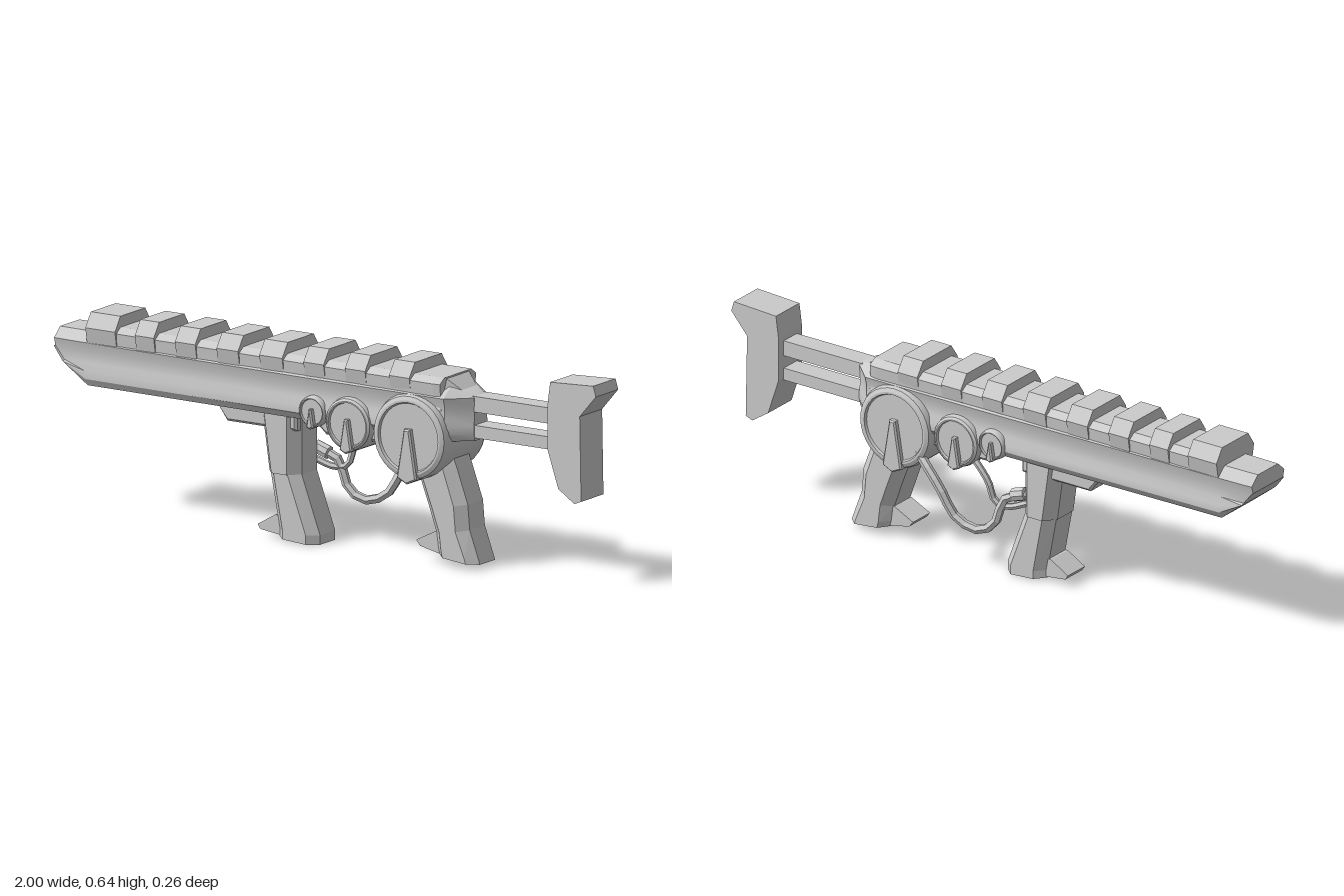
import * as THREE from 'three';
import { mergeVertices, toCreasedNormals } from 'three/addons/utils/BufferGeometryUtils.js';

const grey = new THREE.MeshStandardMaterial({ color: 0xcccccc });
const flat = new THREE.MeshStandardMaterial({ color: 0xcccccc, flatShading: true });

function part(name, geometry, material = flat) {
  const mesh = new THREE.Mesh(geometry, material);
  mesh.name = name;
  return mesh;
}

// Closed skin through equal-length loops of [x, y, z] points
function loft(rings) {
  const pos = [];
  const n = rings[0].length;
  const tri = (...pts) => pts.forEach((p) => pos.push(...p));
  for (let i = 0; i < rings.length - 1; i++) {
    for (let j = 0; j < n; j++) {
      const k = (j + 1) % n, a = rings[i], b = rings[i + 1];
      tri(a[j], a[k], b[k]);
      tri(a[j], b[k], b[j]);
    }
  }
  const cap = (ring, flip) => {
    const c = [0, 1, 2].map((d) => ring.reduce((s, p) => s + p[d], 0) / n);
    ring.forEach((p, j) => {
      const q = ring[(j + 1) % n];
      if (flip) tri(c, q, p); else tri(c, p, q);
    });
  };
  cap(rings[0], true);
  cap(rings[rings.length - 1], false);
  const g = new THREE.BufferGeometry();
  g.setAttribute('position', new THREE.Float32BufferAttribute(pos, 3));
  return toCreasedNormals(g, 0.45);
}

// Loop across the barrel at x from a half profile [z, y] listed top to bottom
function slice(x, half, widen = 1, minY = 0) {
  const right = half.map(([z, y]) => [x, Math.max(y, minY), z * widen]);
  return [...right, ...right.map(([a, y, z]) => [a, y, -z]).reverse()];
}

// Octagonal grip loop: back and front x, with a height at each
function gripSlice(x0, y0, x1, y1, w = 0.074) {
  const f = 0.042, c = 0.032;
  return [[x0 + c, w], [x1 - c, w], [x1, f], [x1, -f], [x1 - c, -w], [x0 + c, -w], [x0, -f], [x0, f]]
    .map(([x, z]) => [x, y0 + (y1 - y0) * (x - x0) / (x1 - x0), z]);
}

// Side outline extruded evenly about z = 0
function plate(points, halfWidth, bevel = 0) {
  const shape = new THREE.Shape(points.map((p) => new THREE.Vector2(...p)));
  const depth = 2 * (halfWidth - bevel);
  return new THREE.ExtrudeGeometry(shape, {
    depth, bevelEnabled: bevel > 0, bevelThickness: bevel, bevelSize: bevel, bevelOffset: -bevel, bevelSegments: 1,
  }).translate(0, 0, -depth / 2);
}

function box(x0, x1, y0, y1, halfWidth) {
  return new THREE.BoxGeometry(x1 - x0, y1 - y0, 2 * halfWidth).translate((x0 + x1) / 2, (y0 + y1) / 2, 0);
}

// Round drum through the body with a rimmed face and a wedge pointer on each side
function dial(name, x, y, r, z) {
  const group = new THREE.Group();
  group.name = name;
  const face = [[r, 0], [r, z - 0.02], [r * 0.96, z - 0.006], [r * 0.87, z], [r * 0.82, z], [r * 0.79, z - 0.008], [0, z - 0.008]];
  const outline = [...face.map(([a, b]) => [a, -b]).reverse(), ...face.slice(1)];
  const lathe = new THREE.LatheGeometry(outline.map((p) => new THREE.Vector2(...p)), 32).rotateX(Math.PI / 2);
  group.add(part('dialDrum', toCreasedNormals(lathe, 0.45), grey));
  const pointer = plate([[-r * 0.08, r * 0.2], [-r * 0.27, -r * 0.95], [0, -r * 1.08], [r * 0.27, -r * 0.95], [r * 0.08, r * 0.2]], z + 0.01, 0.005);
  group.add(part('dialPointers', pointer));
  group.position.set(x, y, 0);
  return group;
}

function cable(name, points, radius) {
  const path = new THREE.CatmullRomCurve3(points.map((p) => new THREE.Vector3(...p)), false, 'centripetal');
  return part(name, mergeVertices(new THREE.TubeGeometry(path, 14, radius, 6, false)));
}

export function createModel() {
  const model = new THREE.Group();

  // Lower body with a waisted side, an upswept nose and a tapered tail
  const side = [[0.06, 0.57], [0.098, 0.54], [0.09, 0.51], [0.09, 0.475], [0.1, 0.45], [0.1, 0.425], [0.085, 0.403]];
  model.add(part('lowerBody', loft([
    slice(-1, side, 0.88, 0.515), slice(-0.965, side, 0.9, 0.47), slice(-0.88, side, 0.92),
    slice(0, side, 1.05), slice(0.46, side, 1.06), slice(0.53, side.map(([z, y]) => [z, Math.min(y, 0.545)]), 0.38),
  ]), grey));

  // Upper cover, stepping up into a row of eight teeth
  const low = [[0.073, 0.6], [0.098, 0.583], [0.094, 0.535]];
  const high = [[0.075, 0.635], [0.108, 0.59], [0.097, 0.535]];
  model.add(part('upperCover', loft([
    slice(-0.865, low, 0.92), slice(0.42, low, 1.05), slice(0.445, low, 1.02),
  ])));
  const teeth = [[-0.875, -0.765], [-0.69, -0.62], [-0.54, -0.465], [-0.385, -0.305], [-0.225, -0.14], [-0.06, 0.015], [0.095, 0.17], [0.26, 0.335]];
  teeth.forEach(([a, b]) => {
    const w = 0.97 + a * 0.06;
    model.add(part('railTooth', loft([
      slice(a, high, w), slice(b, high, w),
    ])));
  });
  model.add(part('rearCover', loft([
    slice(0.42, [[0.065, 0.595], [0.1, 0.5]]), slice(0.445, [[0.062, 0.595], [0.098, 0.5]]), slice(0.5, [[0.035, 0.55], [0.05, 0.5]]),
  ])));

  // Blocks under the body
  model.add(part('frontMount', plate([[-0.41, 0.41], [-0.37, 0.355], [-0.11, 0.355], [-0.11, 0.41]], 0.07, 0.008)));
  model.add(part('rearCasing', plate([[-0.11, 0.41], [-0.03, 0.4], [0.01, 0.365], [0.42, 0.365], [0.46, 0.41]], 0.09, 0.01)));

  // Dials, growing towards the rear
  model.add(dial('smallDial', -0.025, 0.437, 0.05, 0.115));
  model.add(dial('middleDial', 0.11, 0.415, 0.085, 0.117));
  model.add(dial('largeDial', 0.34, 0.405, 0.136, 0.121));

  // Front grip with its sleeve and toe
  model.add(part('frontGrip', loft([
    gripSlice(-0.19, 0.01, -0.04, 0), gripSlice(-0.19, 0.035, -0.04, 0.03), gripSlice(-0.225, 0.22, -0.11, 0.22), gripSlice(-0.25, 0.38, -0.11, 0.38),
  ])));
  model.add(part('frontGripSleeve', loft([
    gripSlice(-0.228, 0.215, -0.107, 0.215, 0.08), gripSlice(-0.255, 0.405, -0.107, 0.405, 0.08),
  ])));
  model.add(part('frontGripToe', plate([[-0.15, 0.009], [-0.26, 0.022], [-0.27, 0.037], [-0.205, 0.075], [-0.15, 0.075]], 0.045)));

  // Rear grip and toe
  model.add(part('rearGrip', loft([
    gripSlice(0.405, 0.03, 0.555, 0.015), gripSlice(0.4, 0.05, 0.55, 0.03), gripSlice(0.393, 0.1, 0.517, 0.12),
    gripSlice(0.365, 0.18, 0.51, 0.2), gripSlice(0.32, 0.3, 0.47, 0.31), gripSlice(0.3, 0.36, 0.45, 0.36),
  ])));
  model.add(part('rearGripToe', plate([[0.45, 0.022], [0.335, 0.047], [0.32, 0.065], [0.39, 0.1], [0.45, 0.1]], 0.045)));

  // Cables looping from the front grip to the dials on the right side
  model.add(cable('longCable', [
    [-0.13, 0.28, -0.06], [-0.05, 0.25, -0.072], [-0.015, 0.16, -0.08], [0.04, 0.128, -0.088],
    [0.115, 0.155, -0.1], [0.17, 0.25, -0.115], [0.24, 0.325, -0.108], [0.28, 0.35, -0.09],
  ], 0.015));
  model.add(cable('shortCable', [
    [-0.13, 0.25, -0.05], [-0.06, 0.225, -0.068], [-0.015, 0.235, -0.075], [0.005, 0.3, -0.085], [0.05, 0.36, -0.09], [0.09, 0.39, -0.085],
  ], 0.011));
  model.add(part('cableSocket', new THREE.CylinderGeometry(0.022, 0.022, 0.05, 8).rotateZ(1.25).translate(-0.1, 0.275, -0.062)));

  // Slotted stock and shoulder butt
  model.add(part('stockRoot', box(0.44, 0.51, 0.41, 0.548, 0.037)));
  model.add(part('stockUpperBar', box(0.48, 0.84, 0.495, 0.545, 0.035)));
  model.add(part('stockLowerBar', box(0.48, 0.84, 0.413, 0.453, 0.035)));
  model.add(part('shoulderButt', plate([
    [0.83, 0.635], [0.82, 0.56], [0.82, 0.42], [0.86, 0.3], [0.92, 0.26], [0.945, 0.27],
    [0.94, 0.54], [1, 0.61], [0.99, 0.643],
  ], 0.062)));

  return model;
}
